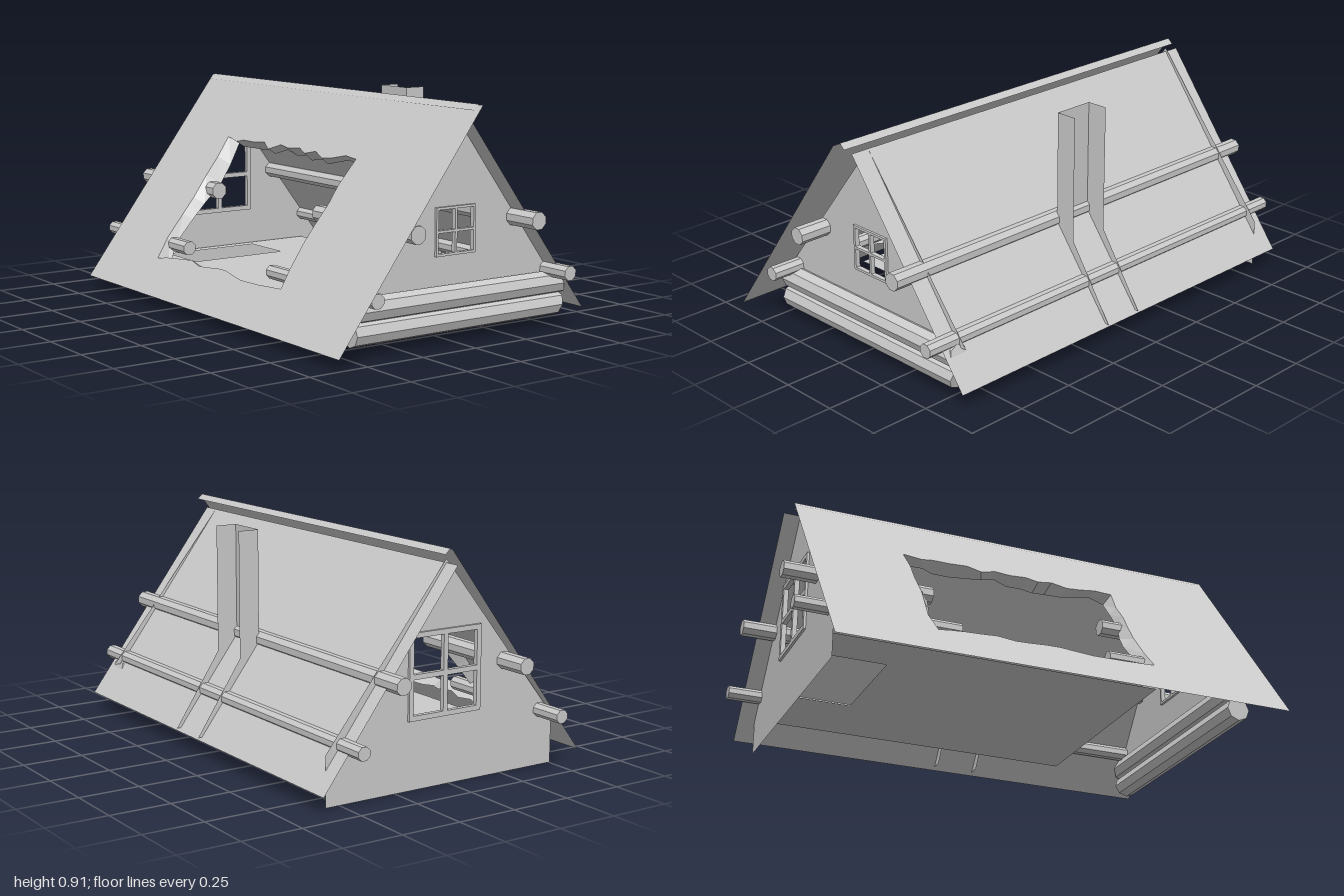
import * as THREE from 'three';

const grey = new THREE.MeshStandardMaterial({ color: 0xcccccc, side: THREE.DoubleSide, flatShading: true });

function add(parent, geometry, name, x = 0, y = 0, z = 0) {
  const mesh = new THREE.Mesh(geometry, grey);
  mesh.name = name;
  mesh.position.set(x, y, z);
  parent.add(mesh);
  return mesh;
}

const polygon = (pts) => new THREE.Shape(pts.map(([x, y]) => new THREE.Vector2(x, y)));

// Seeded noise in -1..1 for the broken edges
let seed = 7;
function jitter() {
  seed = (seed * 16807) % 2147483647;
  return (seed / 2147483647) * 2 - 1;
}

// Gable panel with a four-pane window
function gable(name, outline, z, [x0, y0, x1, y1], bar) {
  const group = new THREE.Group();
  group.name = name;
  const shape = polygon(outline);
  shape.holes.push(polygon([[x0, y0], [x0, y1], [x1, y1], [x1, y0]]));
  add(group, new THREE.ShapeGeometry(shape), 'gableWall');
  const w = x1 - x0, h = y1 - y0, cx = (x0 + x1) / 2, cy = (y0 + y1) / 2;
  for (const t of [-1, 0, 1]) {
    const inset = t * (0.5 * bar);
    add(group, new THREE.BoxGeometry(bar, h, 0.02), 'windowUpright', cx + t * w / 2 - inset, cy);
    add(group, new THREE.BoxGeometry(w, bar, 0.02), 'windowRail', cx, cy + t * h / 2 - inset);
  }
  group.position.z = z;
  return group;
}

// Log along z between two depths, slightly tapered
function logZ(parent, name, x, y, r, z0, z1) {
  const g = new THREE.CylinderGeometry(r, r * 0.94, z1 - z0, 8);
  g.rotateY(Math.PI / 8);
  g.rotateX(Math.PI / 2);
  add(parent, g, name, x, y, (z0 + z1) / 2);
}

// Log along x whose right end is cut at a slant, from xLow at its underside to xHigh at its top
function logX(parent, name, y, r, x0, xLow, xHigh) {
  const g = new THREE.CylinderGeometry(r, r * 1.04, 1, 8);
  g.rotateZ(-Math.PI / 2);
  const p = g.attributes.position;
  for (let i = 0; i < p.count; i++) {
    const end = xLow + (xHigh - xLow) * (p.getY(i) / (2 * r) + 0.5);
    p.setX(i, p.getX(i) > 0 ? end : x0);
  }
  g.computeVertexNormals();
  add(parent, g, name, 0, y, 0.855);
}

// Sloping panel through (xa, ya) and (xb, yb)
function slope(xa, ya, xb, yb, z0, z1) {
  const g = new THREE.PlaneGeometry(1, 1);
  const p = g.attributes.position;
  for (let i = 0; i < p.count; i++) {
    const t = p.getX(i) + 0.5;
    p.setXYZ(i, xa + (xb - xa) * t, ya + (yb - ya) * t, p.getY(i) < 0 ? z1 : z0);
  }
  g.computeVertexNormals();
  return g;
}

// Left roof: one slope with a ragged opening and a splintered rim
const leftRoofY = (x) => 0.905 + 1.338 * (x - 0.02);

function brokenRoof() {
  const group = new THREE.Group();
  group.name = 'brokenRoof';
  const corners = [[-0.515, -0.468], [-0.165, -0.468], [-0.165, 0.45], [-0.515, 0.45]];
  const steps = [6, 14, 6, 14];
  const ring = [];
  corners.forEach(([x, z], k) => {
    const [nx, nz] = corners[(k + 1) % 4];
    for (let i = 0; i < steps[k]; i++) {
      const t = i / steps[k];
      ring.push([x + (nx - x) * t + jitter() * 0.011, z + (nz - z) * t + jitter() * 0.013]);
    }
  });
  const shape = polygon([[-0.625, -0.89], [0.02, -0.89], [0.02, 1], [-0.625, 1]]);
  shape.holes.push(polygon(ring));
  const sheet = new THREE.ShapeGeometry(shape);
  const p = sheet.attributes.position;
  for (let i = 0; i < p.count; i++) {
    const x = p.getX(i);
    p.setXYZ(i, x, leftRoofY(x), p.getY(i));
  }
  // Shape winding flips when mapped to the ground plane; turn it outward
  const idx = sheet.index;
  for (let i = 0; i < idx.count; i += 3) {
    const a = idx.getX(i);
    idx.setX(i, idx.getX(i + 1));
    idx.setX(i + 1, a);
  }
  sheet.computeVertexNormals();
  add(group, sheet, 'leftRoof');

  // Rim: each edge point is joined to one set inward of the roof
  const pos = [], faces = [], n = ring.length;
  ring.forEach(([x, z], i) => {
    const depth = 0.05 + 0.014 * jitter();
    const pull = 0.94 + 0.025 * jitter();
    pos.push(x, leftRoofY(x), z, x + depth * 0.8, leftRoofY(x) - depth * 0.6, z * pull);
    const a = 2 * i, b = 2 * ((i + 1) % n);
    faces.push(a, b, a + 1, b, b + 1, a + 1);
  });
  const rim = new THREE.BufferGeometry();
  rim.setAttribute('position', new THREE.Float32BufferAttribute(pos, 3));
  rim.setIndex(faces);
  rim.computeVertexNormals();
  add(group, rim, 'splinteredRim');
  return group;
}

export function createModel() {
  const model = new THREE.Group();
  model.name = 'cabin';

  // Roof slopes and ridge cap
  model.add(brokenRoof());
  add(model, slope(0.025, 0.852, 0.615, 0.067, -0.93, 0.92), 'rightRoof');
  add(model, slope(0, 0.885, 0.022, 0.907, -0.88, 0.97), 'ridgeCapLeft');
  add(model, slope(0.022, 0.907, 0.045, 0.886, -0.88, 0.97), 'ridgeCapRight');

  // Gables: the front one rests on logs, the back one reaches the ground
  model.add(gable('frontGable', [[-0.5, 0.2], [0.55, 0.2], [0.025, 0.852]], 0.84,
    [-0.071, 0.328, 0.119, 0.515], 0.01));
  model.add(gable('backGable', [[-0.505, 0], [0.56, 0], [0.56, 0.2], [0.025, 0.868], [-0.505, 0.2]], -0.86,
    [-0.14, 0.27, 0.195, 0.605], 0.02));

  // Logs under the front gable
  logX(model, 'frontLog', 0.17, 0.047, -0.475, 0.552, 0.515);
  logX(model, 'frontLog', 0.085, 0.047, -0.475, 0.515, 0.54);

  // Purlins: whole on the right, snapped at the opening on the left
  logZ(model, 'upperPurlin', 0.315, 0.448, 0.036, -1, 0.99);
  logZ(model, 'lowerPurlin', 0.487, 0.226, 0.03, -1, 0.985);
  logZ(model, 'brokenUpperPurlin', -0.258, 0.448, 0.036, -1, -0.39);
  logZ(model, 'brokenUpperPurlin', -0.258, 0.448, 0.036, 0.35, 0.98);
  logZ(model, 'brokenLowerPurlin', -0.44, 0.226, 0.03, -1, -0.335);
  logZ(model, 'brokenLowerPurlin', -0.44, 0.226, 0.03, 0.29, 0.98);

  // Floor with a hatch near the back
  const floor = polygon([[-0.465, -0.49], [0.475, -0.49], [0.475, 0.85], [-0.465, 0.85]]);
  floor.holes.push(polygon([[-0.27, 0.57], [0.17, 0.57], [0.17, 0.8], [-0.27, 0.8]]));
  const floorGeo = new THREE.ShapeGeometry(floor);
  floorGeo.rotateX(-Math.PI / 2);
  add(model, floorGeo, 'floor', 0, 0.115, 0);

  // Chimney channel, open outward, with side fins running down the roof
  const chimney = new THREE.Group();
  chimney.name = 'chimney';
  const fin = polygon([[0.335, 0.897], [0.335, 0.43], [0.555, 0.08], [0.622, 0.08], [0.425, 0.38], [0.425, 0.897]]);
  for (const z of [0.14, -0.035]) add(chimney, new THREE.ShapeGeometry(fin), 'chimneySide', 0, 0, z);
  add(chimney, slope(0.335, 0.897, 0.335, 0.43, -0.035, 0.14), 'chimneyBack');
  model.add(chimney);

  return model;
}
